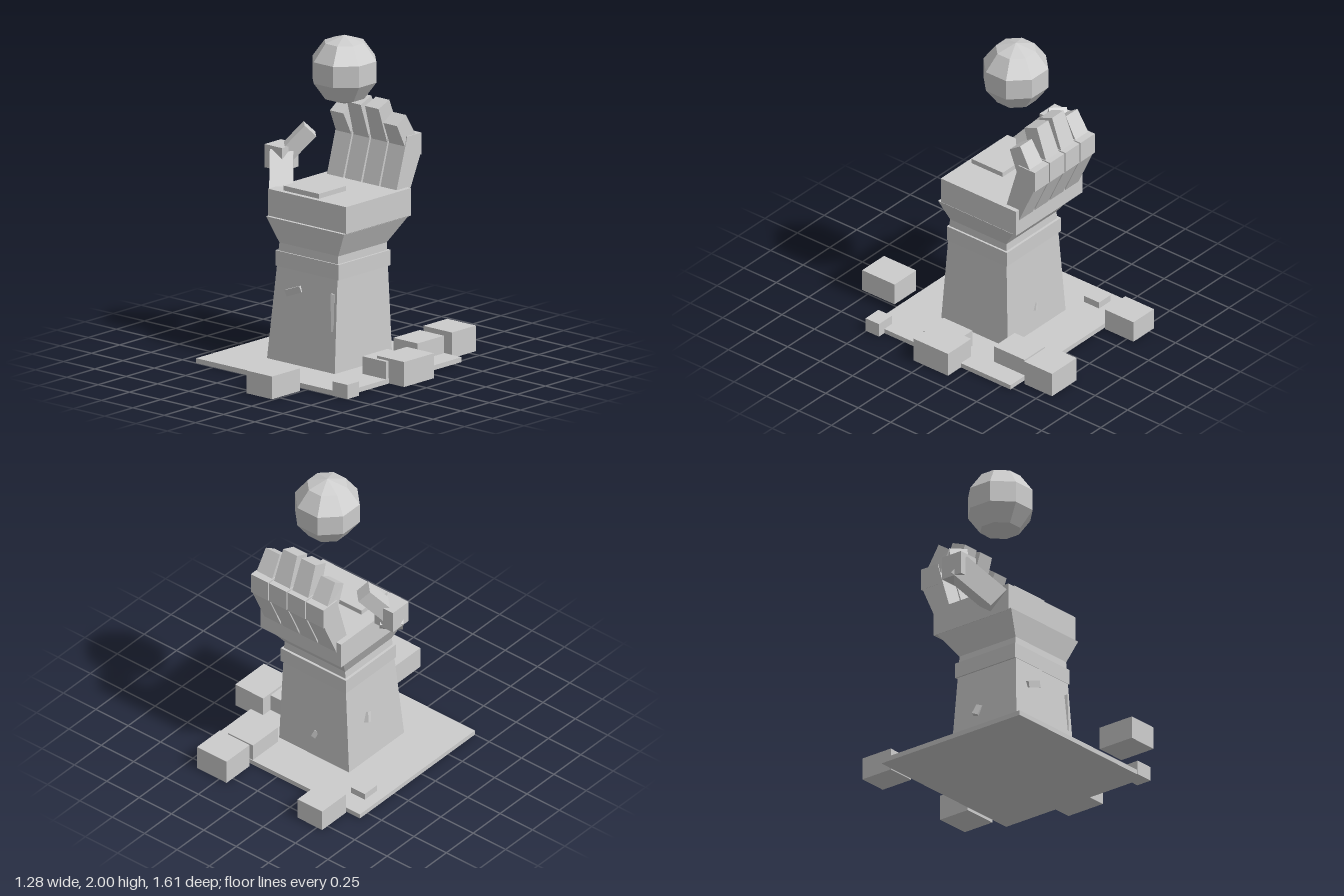
import * as THREE from 'three';

export function createModel() {
  const root = new THREE.Group();
  const stone = new THREE.MeshStandardMaterial({ color: 0xcccccc });
  stone.name = 'stone';
  stone.flatShading = true;

  function add(name, geometry, parent = root) {
    const mesh = new THREE.Mesh(geometry, stone);
    mesh.name = name;
    parent.add(mesh);
    return mesh;
  }

  // Six-sided block: x ranges at the bottom and top, then a side outline in [z, y]
  function block(xBottom, xTop, frontBottom, backBottom, backTop, frontTop) {
    const g = new THREE.BoxGeometry(1, 1, 1).toNonIndexed();
    const p = g.attributes.position;
    for (let i = 0; i < p.count; i++) {
      const top = p.getY(i) > 0, front = p.getZ(i) > 0;
      const x = (top ? xTop : xBottom)[p.getX(i) > 0 ? 1 : 0];
      const [z, y] = top ? (front ? frontTop : backTop) : (front ? frontBottom : backBottom);
      p.setXYZ(i, x, y, z);
    }
    g.computeVertexNormals();
    return g;
  }

  // Straight-sided box from its limits
  function bounds(x0, x1, y0, y1, z0, z1) {
    return block([x0, x1], [x0, x1], [z1, y0], [z0, y0], [z0, y1], [z1, y1]);
  }

  // Box running between two points, with one horizontal cross edge
  function beam(name, a, b, width, depth, parent) {
    const from = new THREE.Vector3(...a), to = new THREE.Vector3(...b);
    const axis = to.clone().sub(from);
    const length = axis.length();
    axis.normalize();
    const side = new THREE.Vector3(0, 1, 0).cross(axis).normalize();
    const up = axis.clone().cross(side);
    const g = new THREE.BoxGeometry(width, depth, length);
    g.applyMatrix4(new THREE.Matrix4().makeBasis(side, up, axis)
      .setPosition(from.add(to).multiplyScalar(0.5)));
    return add(name, g, parent);
  }

  // Base slab and forearm
  add('baseSlab', bounds(-0.64, 0.52, 0, 0.03, -0.57, 0.5));
  add('forearm', block([-0.328, 0.212], [-0.275, 0.193],
    [0.217, 0.03], [-0.295, 0.03], [-0.268, 0.75], [0.165, 0.75]));
  add('wristBand', bounds(-0.296, 0.208, 0.598, 0.693, -0.286, 0.178));

  // Hand
  add('palmHeel', block([-0.275, 0.193], [-0.355, 0.268],
    [0.165, 0.74], [-0.268, 0.74], [-0.38, 0.895], [0.196, 0.895]));
  add('palm', bounds(-0.355, 0.266, 0.89, 1.06, -0.402, 0.176));
  add('palmPlate', bounds(-0.26, 0.02, 1.05, 1.09, -0.098, 0.144));

  // Four fingers; the two middle ones reach higher
  for (let i = 0; i < 4; i++) {
    const finger = new THREE.Group();
    finger.name = 'finger' + (i + 1);
    root.add(finger);
    const cx = -0.255 + i * 0.1423;
    const span = (w) => [cx - w / 2, cx + w / 2];
    const middle = i === 1 || i === 2;
    add('lowerJoint', block(span(0.128), span(0.132),
      [-0.295, 1.02], [-0.402, 0.985], [-0.522, 1.25], [-0.397, 1.36]), finger);
    add('knuckle', bounds(...span(0.134), 1.238, 1.372, -0.526, -0.398), finger);
    add('fingertip', block(span(0.124), span(0.108),
      [-0.385, 1.31], [-0.505, 1.33],
      middle ? [-0.413, 1.568] : [-0.402, 1.503],
      middle ? [-0.317, 1.53] : [-0.322, 1.45]), finger);
  }

  // Thumb bent at its knuckle
  const thumb = new THREE.Group();
  thumb.name = 'thumb';
  root.add(thumb);
  beam('thumbBase', [-0.336, 0.97, 0.084], [-0.49, 1.185, -0.095], 0.14, 0.142, thumb);
  add('thumbKnuckle', bounds(-0.56, -0.42, 1.115, 1.258, -0.167, -0.02), thumb);
  beam('thumbTip', [-0.483, 1.175, -0.09], [-0.366, 1.35, -0.208], 0.108, 0.095, thumb);

  // Floating orb
  const orbGeometry = new THREE.SphereGeometry(0.212, 8, 5).rotateY(Math.PI / 8);
  add('orb', orbGeometry).position.set(-0.04, 1.788, -0.15);

  // Rubble around the base: x, y and z limits
  [
    [-0.54, -0.35, 0, 0.137, -0.8, -0.58],
    [0.192, 0.42, 0, 0.158, -0.808, -0.595],
    [0.19, 0.382, 0, 0.138, -0.565, -0.33],
    [0.424, 0.64, 0, 0.154, -0.188, 0.077],
    [0.33, 0.516, 0, 0.138, -0.12, 0.102],
    [0.45, 0.57, 0, 0.088, 0.402, 0.505],
    [0.035, 0.238, 0, 0.14, 0.556, 0.805],
    [-0.57, -0.465, 0, 0.072, -0.44, -0.325],
  ].forEach((b, i) => add('rubble' + (i + 1), bounds(...b)));

  // Chips in the forearm: size, position, rotation
  [
    [[0.12, 0.04, 0.03], [-0.14, 0.473, 0.183], [0.1, 0.1, 0.36]],
    [[0.02, 0.23, 0.03], [0.17, 0.395, 0.184], [-0.03, 0.4, 0.03]],
    [[0.03, 0.065, 0.04], [-0.308, 0.325, -0.1], [0.4, 0.2, -0.3]],
    [[0.03, 0.05, 0.02], [-0.06, 0.185, -0.285], [0.1, 0.3, 0.4]],
  ].forEach(([size, pos, rot], i) => {
    const chip = add('chip' + (i + 1), new THREE.BoxGeometry(...size));
    chip.position.set(...pos);
    chip.rotation.set(...rot);
  });

  return root;
}
